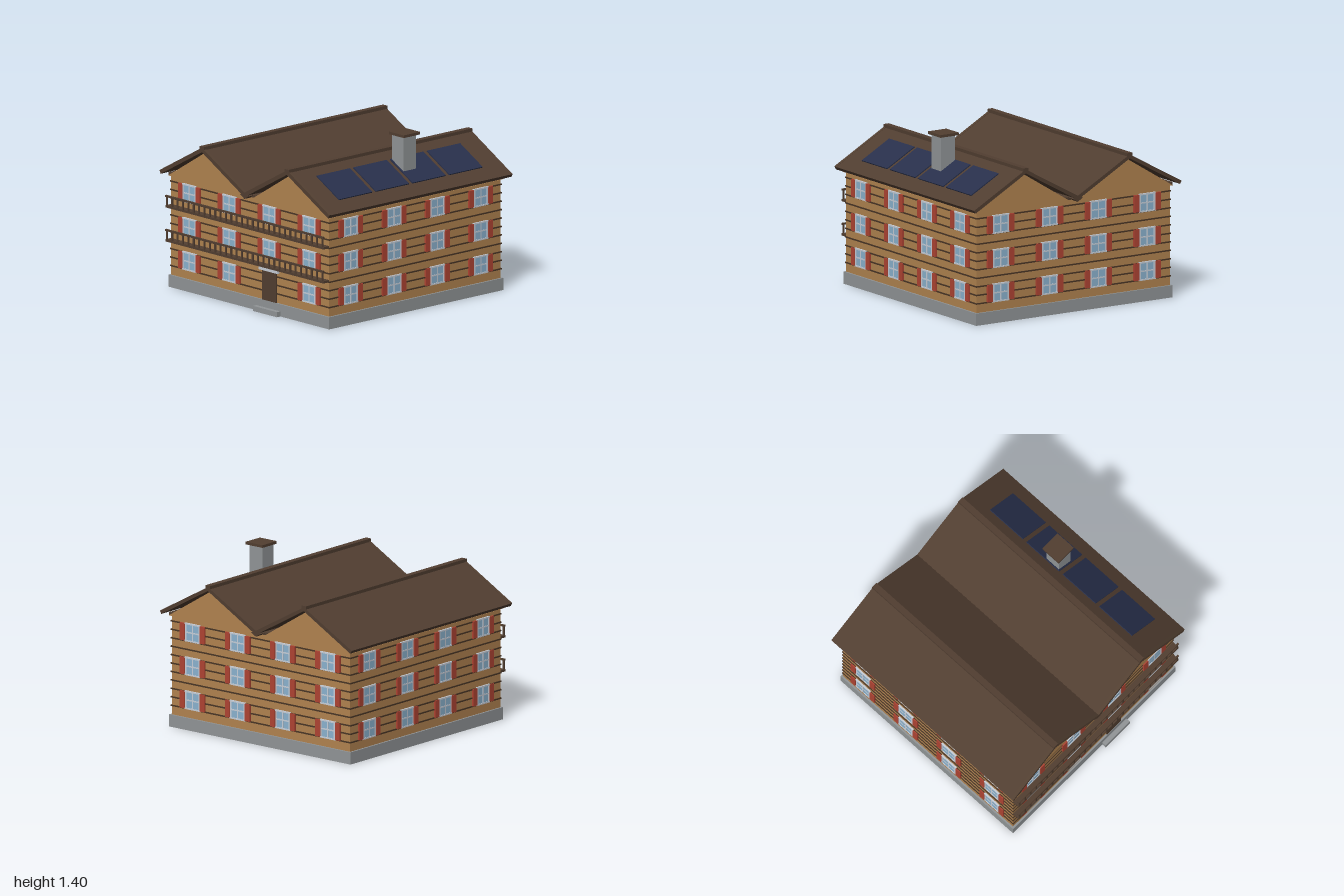
import * as THREE from 'three';

const mat = (name, color) => {
  const m = new THREE.MeshStandardMaterial({ color });
  m.name = name;
  return m;
};

export function createModel() {
  const wood = mat('tan wood', 0xb28450);
  const seam = mat('dark seam', 0x4a3626);
  const roofBrown = mat('roof brown', 0x513e31);
  const timber = mat('dark timber', 0x523f31);
  const stone = mat('grey stone', 0x929698);
  const white = mat('frame white', 0xc9d0da);
  const glass = mat('window glass', 0x8cb4d0);
  const red = mat('shutter red', 0xb04433);
  const solar = mat('solar blue', 0x28304c);

  const house = new THREE.Group();
  house.name = 'house';

  const add = (parent, name, geometry, material, x = 0, y = 0, z = 0) => {
    const mesh = new THREE.Mesh(geometry, material);
    mesh.name = name;
    mesh.position.set(x, y, z);
    parent.add(mesh);
    return mesh;
  };
  const box = (parent, name, material, w, h, d, x, y, z) =>
    add(parent, name, new THREE.BoxGeometry(w, h, d), material, x, y, z);
  // Extrudes an outline in x and y from z0 to z1
  const prism = (name, points, z0, z1, material, x) => {
    const shape = new THREE.Shape(points.map(([px, py]) => new THREE.Vector2(px, py)));
    const geometry = new THREE.ExtrudeGeometry(shape, { depth: z1 - z0, bevelEnabled: false });
    return add(house, name, geometry, material, x, 0, z0);
  };

  // Base, walls and the dark seams between the boards
  box(house, 'foundation', stone, 1.89, 0.1, 1.89, 0, 0.05, 0);
  box(house, 'walls', wood, 1.86, 0.82, 1.86, 0, 0.508, 0);
  for (let i = 0; i < 11; i++) {
    box(house, 'wallSeam', seam, 1.873, 0.011, 1.873, 0, 0.175 + i * 0.0695, 0);
  }
  box(house, 'wallPlate', timber, 1.9, 0.024, 1.88, 0, 0.928, 0);

  // Twin gables and roofs
  for (const x of [-0.5, 0.5]) {
    prism('gable', [[-0.45, 0.914], [0.45, 0.914], [0, 1.19]], -0.945, 0.945, wood, x);
    prism('roof', [[-0.5, 0.955], [-0.484, 0.93], [0, 1.199], [0.484, 0.93], [0.5, 0.955], [0, 1.231]],
      -0.995, 0.965, roofBrown, x);
    prism('bargeBoard', [[-0.5, 0.957], [-0.484, 0.929], [0, 1.197], [0.484, 0.929], [0.5, 0.957], [0, 1.234]],
      0.965, 0.993, timber, x);
    box(house, 'ridgeCap', roofBrown, 0.05, 0.03, 1.99, x, 1.228, 0);
  }
  prism('valley', [[-0.05, 0.935], [0, 0.906], [0.05, 0.935], [0, 0.956]], -0.995, 0.993, roofBrown, 0);

  // Solar panels on the left slope
  const slope = Math.atan2(0.276, 0.5);
  for (let i = 0; i < 4; i++) {
    const panel = box(house, 'solarPanel', solar, 0.302, 0.009, 0.36, 0.748, 1.099, -0.598 + i * 0.3985);
    panel.rotation.z = -slope;
  }

  // Chimney
  box(house, 'chimney', stone, 0.135, 0.36, 0.135, 0.692, 1.205, -0.1);
  box(house, 'chimneyCap', timber, 0.176, 0.022, 0.176, 0.692, 1.389, -0.105);

  // One shuttered window facing +z, centred on its own origin at the wall face
  const makeWindow = () => {
    const g = new THREE.Group();
    g.name = 'window';
    box(g, 'pane', glass, 0.14, 0.14, 0.009, 0, 0, 0.005);
    for (const s of [-1, 1]) {
      box(g, 'frameSide', white, 0.013, 0.148, 0.014, s * 0.069, 0, 0.006);
      box(g, 'frameRail', white, 0.16, 0.012, 0.016, 0, s * 0.07, 0.006);
      box(g, 'shutter', red, 0.05, 0.142, 0.016, s * 0.104, 0, 0.008);
    }
    box(g, 'mullion', white, 0.011, 0.14, 0.012, 0, 0, 0.006);
    box(g, 'transom', white, 0.14, 0.011, 0.012, 0, 0, 0.006);
    return g;
  };

  // Three floors of four windows on each wall, the door replacing one
  for (let side = 0; side < 4; side++) {
    const wall = new THREE.Group();
    wall.name = ['front', 'left', 'back', 'right'][side] + 'Windows';
    wall.rotation.y = side * Math.PI / 2;
    for (let floor = 0; floor < 3; floor++) {
      for (let i = 0; i < 4; i++) {
        if (side === 0 && floor === 0 && i === 2) continue;
        const w = makeWindow();
        w.position.set(-0.705 + i * 0.47, 0.247 + floor * 0.279, 0.93);
        wall.add(w);
      }
    }
    house.add(wall);
  }

  // Entrance
  box(house, 'door', timber, 0.165, 0.245, 0.02, 0.233, 0.222, 0.932);
  box(house, 'doorLintel', white, 0.22, 0.024, 0.025, 0.233, 0.356, 0.938);
  box(house, 'doorStep', stone, 0.28, 0.042, 0.06, 0.232, 0.021, 0.953);

  // Front balconies
  for (const y of [0.392, 0.672]) {
    const balcony = new THREE.Group();
    balcony.name = 'balcony';
    box(balcony, 'balconyFloor', timber, 1.86, 0.018, 0.065, 0, 0, 0.96);
    box(balcony, 'handrail', timber, 1.86, 0.015, 0.014, 0, 0.086, 0.989);
    for (let i = 0; i < 30; i++) {
      box(balcony, 'baluster', timber, 0.014, 0.08, 0.01, -0.915 + i * 1.83 / 29, 0.043, 0.989);
    }
    balcony.position.y = y;
    house.add(balcony);
  }
  return house;
}
